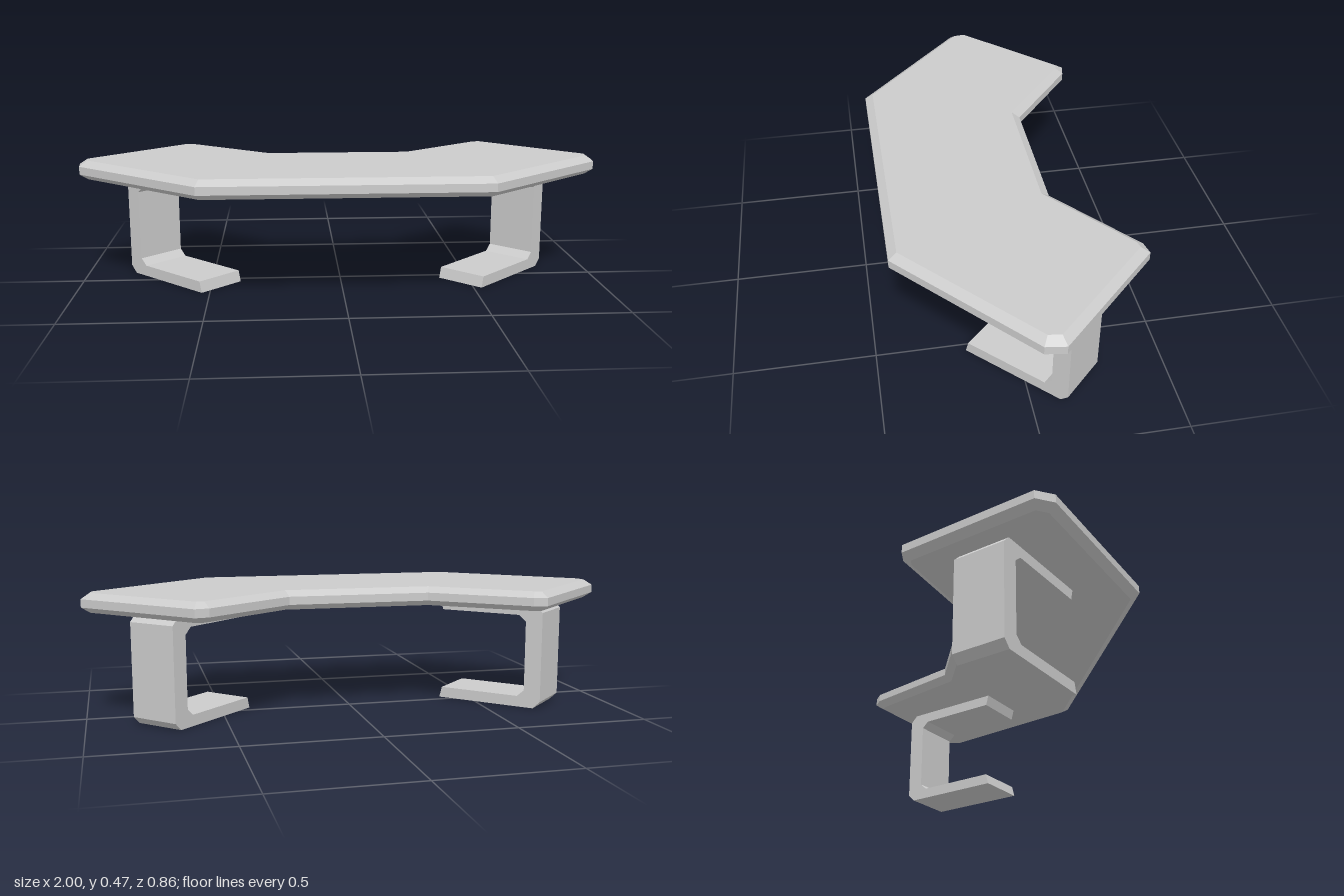
import * as THREE from 'three';

const material = new THREE.MeshStandardMaterial({ color: 0xcccccc, flatShading: true });

const shapeFrom = (points) => new THREE.Shape(points.map(([a, b]) => new THREE.Vector2(a, b)));

// Angular desktop with a bevelled rim; the outline is mirrored in x
function createTop() {
  const half = [[0.52, 0.43], [0.99, 0.01], [1, -0.06], [0.63, -0.43], [0.58, -0.42], [0.265, -0.168]];
  const outline = [...half, ...half.map(([x, z]) => [-x, z]).reverse()];
  const bevel = 0.021;
  const geometry = new THREE.ExtrudeGeometry(shapeFrom(outline), {
    depth: 0.03, bevelEnabled: true, bevelSegments: 1,
    bevelThickness: bevel, bevelSize: 0.03, bevelOffset: -0.03,
  });
  geometry.rotateX(Math.PI / 2).translate(0, 0.475 - bevel, 0);
  const top = new THREE.Mesh(geometry, material);
  top.name = 'tableTop';
  return top;
}

// C-shaped leg: foot, upright and support arm, set diagonally under each wing
function createLeg(side) {
  const height = 0.403, length = 0.427, cut = 0.028;
  const bar = 0.042, inner = length - 0.066;
  const lower = [[0, 0], [length - cut, 0], [length, cut]];
  const lowerInner = [[inner, bar + 0.025], [inner - cut, bar], [0.011, bar]];
  const flip = (points) => points.map(([u, y]) => [u, height - y]).reverse();
  const profile = [...lower, ...flip(lower), ...flip(lowerInner), ...lowerInner];
  const geometry = new THREE.ExtrudeGeometry(shapeFrom(profile), { depth: 0.198, bevelEnabled: false });
  const leg = new THREE.Mesh(geometry, material);
  if (side > 0) {
    leg.rotation.y = Math.PI / 4;
    leg.position.set(0.39, 0, 0.04);
  } else {
    leg.rotation.y = 3 * Math.PI / 4;
    leg.position.set(-0.53, 0, 0.18);
  }
  leg.name = side > 0 ? 'leftLeg' : 'rightLeg';
  return leg;
}

export function createModel() {
  const desk = new THREE.Group();
  desk.name = 'desk';
  desk.add(createTop(), createLeg(1), createLeg(-1));
  return desk;
}
